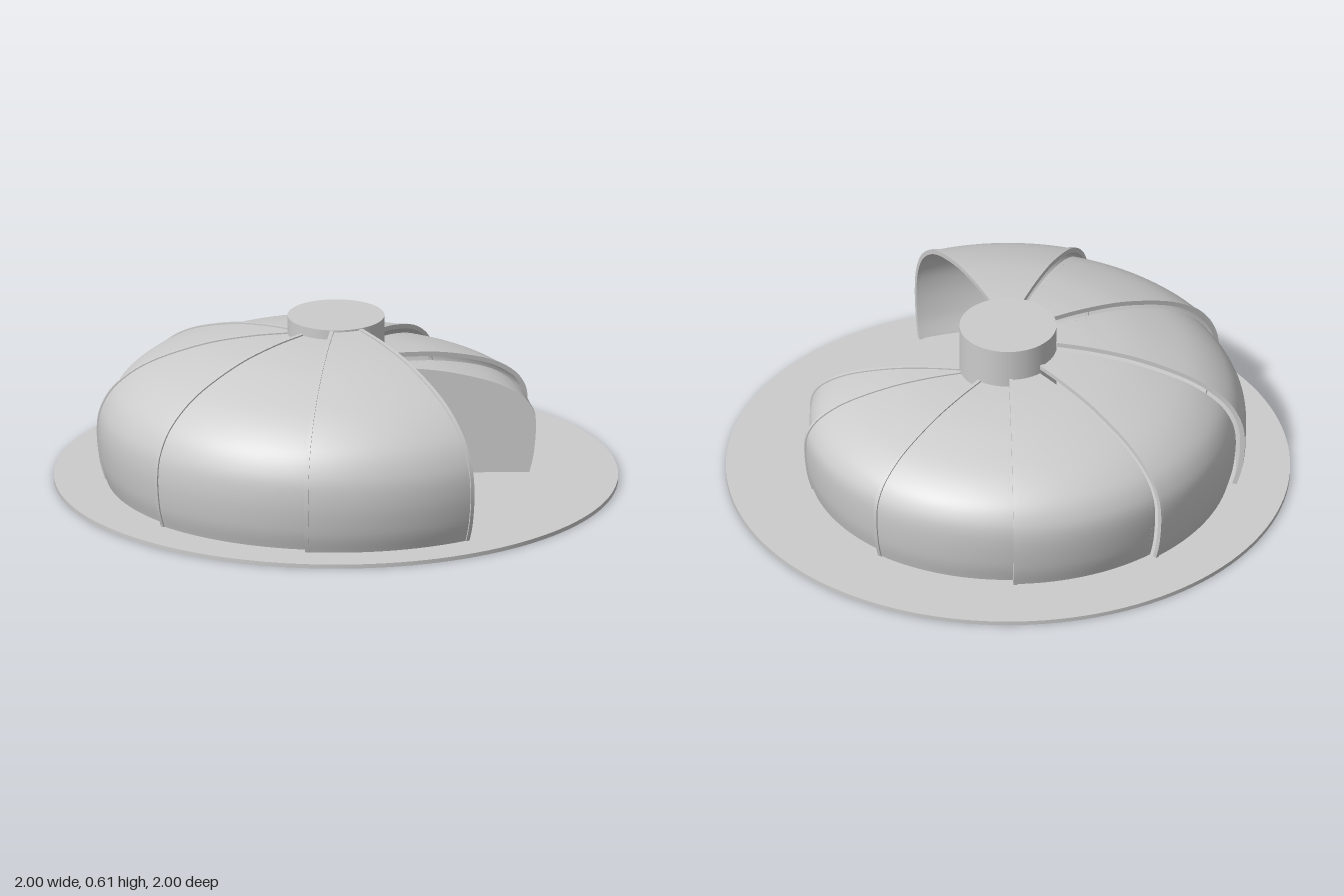
import * as THREE from 'three';
import { toCreasedNormals } from 'three/addons/utils/BufferGeometryUtils.js';

const HUB = 0.172, BASE = 0.015, BULGE = 0.2;
const RAD = Math.PI / 180;

// Dome section for the largest shell, bottom to top
const master = new THREE.SplineCurve([
  [0.868, BASE], [0.89, 0.09], [0.9, BULGE], [0.884, 0.3], [0.825, 0.397],
  [0.7, 0.488], [0.5, 0.56], [0.32, 0.592], [HUB, 0.603],
].map(([r, y]) => new THREE.Vector2(r, y))).getPoints(48);

// The section shrunk inward by d, still meeting the hub and the base
function section(d) {
  const sr = (0.9 - d - HUB) / (0.9 - HUB);
  const sy = (0.603 - d - BULGE) / (0.603 - BULGE);
  return master.map(p => new THREE.Vector2(
    HUB + (p.x - HUB) * sr,
    p.y > BULGE ? BULGE + (p.y - BULGE) * sy : p.y));
}

export function createModel() {
  const group = new THREE.Group();
  const mat = new THREE.MeshStandardMaterial({ color: 0xcccccc, side: THREE.DoubleSide });
  const add = (name, geo, parent = group) => {
    const mesh = new THREE.Mesh(geo, mat);
    mesh.name = name;
    parent.add(mesh);
    return mesh;
  };

  // Flat plate standing in the radial plane at the given angle
  function radialPlate(points, angle, depth, shift) {
    const geo = new THREE.ExtrudeGeometry(new THREE.Shape(points), { depth, bevelEnabled: false });
    geo.translate(0, 0, shift);
    geo.rotateY(angle - Math.PI / 2);
    return toCreasedNormals(geo, 0.6);
  }

  // Base plate and central post
  const base = add('basePlate', new THREE.CylinderGeometry(1, 1, BASE, 128));
  base.position.y = BASE / 2;
  const post = add('centralPost', new THREE.CylinderGeometry(HUB, HUB, 0.61 - BASE, 64));
  post.position.y = (0.61 + BASE) / 2;

  // Telescoping shells, each one step smaller than the last
  const count = 8, step = 0.028, thick = 0.007, ribWidth = 0.014;
  for (let k = 0; k < count; k++) {
    const shell = new THREE.Group();
    shell.name = 'shell' + (k + 1);
    group.add(shell);
    const d = k * step;
    const start = (31 - 40 * k) * RAD;
    const end = k === count - 1 ? -270 * RAD : start - 40 * RAD;
    const outer = section(d), inner = section(d + thick).reverse();

    add('outerSkin', new THREE.LatheGeometry(outer, 24, end, start - end), shell);
    add('innerSkin', new THREE.LatheGeometry(inner, 24, end, start - end), shell);

    // Raised ribs along both edges
    const band = [...section(d - 0.005), ...section(d + 0.012).reverse()];
    const innerBand = [...section(d), ...section(d + 0.012).reverse()];
    add('leadingRib', radialPlate(k ? innerBand : band, start, ribWidth, 0), shell);
    add('trailingRib', radialPlate(band, end, ribWidth, -ribWidth), shell);
  }

  // Flat wall closing the smallest shell
  const wall = [new THREE.Vector2(HUB - 0.01, BASE), ...section((count - 1) * step + 0.008)];
  wall.push(new THREE.Vector2(HUB - 0.01, wall[wall.length - 1].y));
  add('endWall', radialPlate(wall, -270 * RAD, 0.006, -0.008));

  return group;
}
